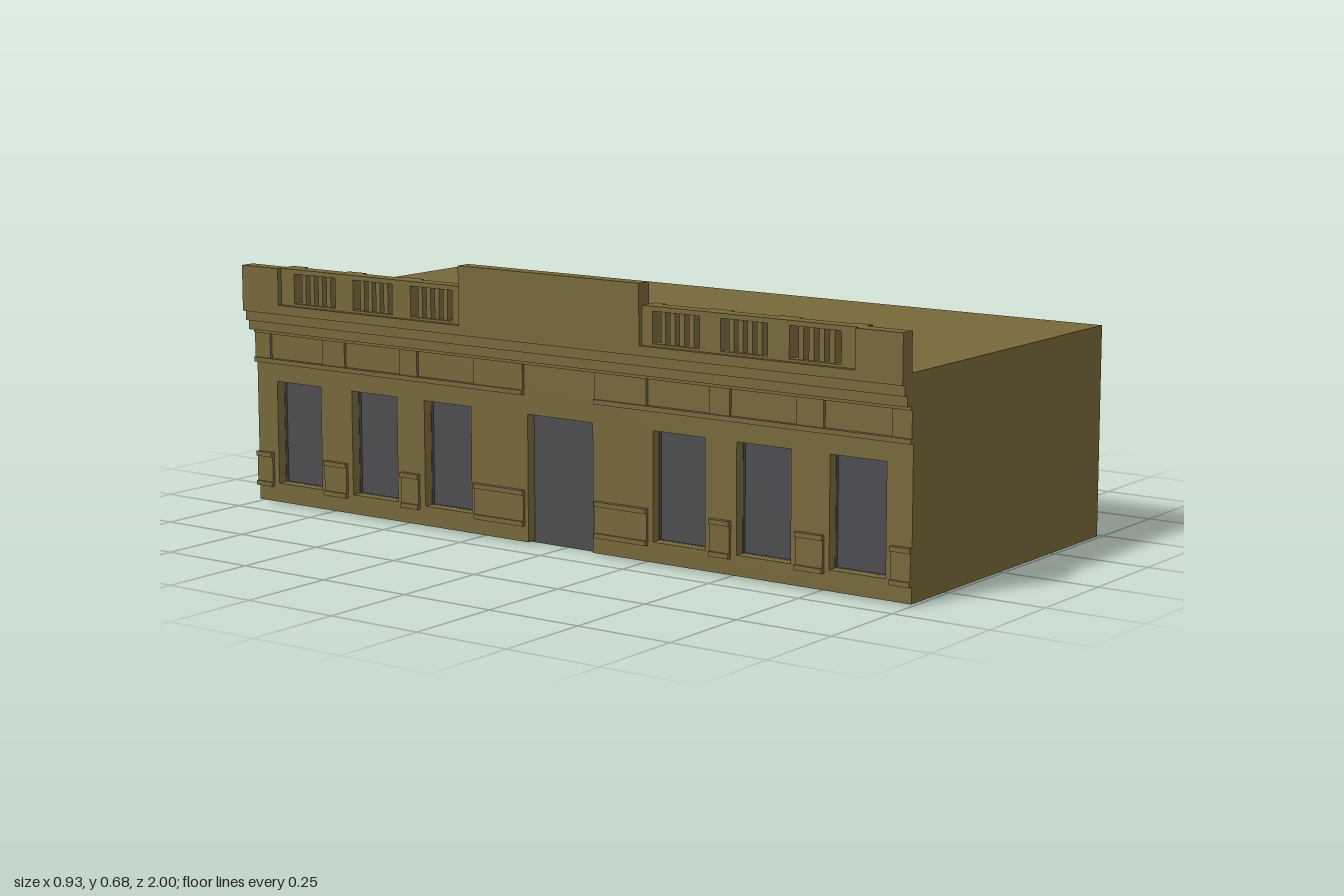
import * as THREE from 'three';

const olive = new THREE.MeshStandardMaterial({ color: 0x76683a, side: THREE.DoubleSide });
const grey = new THREE.MeshStandardMaterial({ color: 0x4c4c50, side: THREE.DoubleSide });

export function createModel() {
  const model = new THREE.Group();

  // Box given by its limits on each axis
  function box(name, x0, x1, y0, y1, z0, z1, material = olive) {
    const mesh = new THREE.Mesh(new THREE.BoxGeometry(x1 - x0, y1 - y0, Math.abs(z1 - z0)), material);
    mesh.position.set((x0 + x1) / 2, (y0 + y1) / 2, (z0 + z1) / 2);
    mesh.name = name;
    model.add(mesh);
    return mesh;
  }

  // Flat panel facing along x
  function panel(name, x, y0, y1, z0, z1, material) {
    const mesh = new THREE.Mesh(new THREE.PlaneGeometry(z1 - z0, y1 - y0), material);
    mesh.rotation.y = Math.PI / 2;
    mesh.position.set(x, (y0 + y1) / 2, (z0 + z1) / 2);
    mesh.name = name;
    model.add(mesh);
  }

  function rectangle(Kind, z0, z1, y0, y1) {
    const r = new Kind();
    r.moveTo(-z0, y0);
    r.lineTo(-z1, y0);
    r.lineTo(-z1, y1);
    r.lineTo(-z0, y1);
    r.closePath();
    return r;
  }

  // Upright plate in the z-y plane, thickened along +x
  function plate(name, shape, x, depth, material) {
    const mesh = new THREE.Mesh(
      new THREE.ExtrudeGeometry(shape, { depth, bevelEnabled: false }), material);
    mesh.rotation.y = Math.PI / 2;
    mesh.position.x = x;
    mesh.name = name;
    model.add(mesh);
  }

  const windows = [-0.855, -0.597, -0.355, 0.355, 0.597, 0.855];
  const base = 0.005, roofY = 0.535;

  // Facade wall with a door notch and window holes
  const wall = new THREE.Shape();
  [[-1, base], [-0.1, base], [-0.1, 0.325], [0.1, 0.325], [0.1, base], [1, base], [1, roofY], [-1, roofY]]
    .forEach(([z, y], i) => (i ? wall.lineTo(z, y) : wall.moveTo(z, y)));
  for (const z of windows) wall.holes.push(rectangle(THREE.Path, z - 0.076, z + 0.076, 0.055, 0.325));
  plate('facadeWall', wall, -0.418, 0.026, olive);

  // Windows: deep grey frame, dark pane outside, plain panel inside
  for (const z of windows) {
    const frame = rectangle(THREE.Shape, z - 0.092, z + 0.092, 0.008, 0.335);
    frame.holes.push(rectangle(THREE.Path, z - 0.076, z + 0.076, 0.055, 0.325));
    plate('windowFrame', frame, -0.391, 0.04, grey);
    panel('windowPane', -0.382, 0.055, 0.325, z - 0.076, z + 0.076, grey);
    panel('windowBacking', -0.378, 0.055, 0.325, z - 0.076, z + 0.076, olive);
  }

  // Door
  box('door', -0.39, -0.352, 0, 0.333, -0.11, 0.11, grey);
  panel('doorBacking', -0.351, 0.005, 0.333, -0.11, 0.11, olive);

  // End walls and roof; the rear stays open
  for (const z of [-1, 1]) {
    const end = new THREE.Mesh(new THREE.PlaneGeometry(0.883, roofY - base), olive);
    end.position.set(0.0235, (roofY + base) / 2, z);
    end.name = 'endWall';
    model.add(end);
  }
  const roof = new THREE.Mesh(new THREE.PlaneGeometry(0.92, 2), olive);
  roof.rotation.x = -Math.PI / 2;
  roof.position.set(0.005, roofY, 0);
  roof.name = 'roof';
  model.add(roof);

  // Pedestals, mouldings and frieze blocks on the piers
  for (const side of [-1, 1]) {
    for (const [a, b] of [[0.11, 0.265], [0.448, 0.505], [0.69, 0.765], [0.947, 1]]) {
      box('pedestal', -0.425, -0.415, 0.045, 0.13, side * a, side * b);
      box('pedestalFoot', -0.43, -0.415, 0.045, 0.057, side * a, side * b);
      box('pedestalCap', -0.43, -0.415, 0.123, 0.135, side * a, side * b);
      box('friezeBlock', -0.425, -0.415, 0.385, 0.46, side * a, side * b);
    }
    box('stringCourse', -0.43, -0.415, 0.373, 0.385, side * 0.11, side);
  }

  // Stepped cornice
  box('friezeTop', -0.429, -0.415, 0.45, 0.462, -1, 1);
  box('corniceLower', -0.447, -0.415, 0.46, 0.485, -1, 1);
  box('corniceMiddle', -0.457, -0.415, 0.485, 0.511, -1, 1);
  box('corniceUpper', -0.468, -0.415, 0.511, roofY, -1, 1);

  // Parapet: raised centre and solid ends
  box('centreParapet', -0.468, -0.428, roofY, 0.683, -0.275, 0.275);
  for (const side of [-1, 1]) box('endParapet', -0.468, -0.428, roofY, 0.63, side * 0.875, side);

  // Run of balusters under a rail
  function balustrade(x0, x1, z0, z1) {
    box('rail', x0, x1, 0.618, 0.63, z0, z1);
    box('railFoot', x0, x1, roofY, 0.541, z0, z1);
    const count = 4, step = (z1 - z0) / (count + 1);
    for (let i = 1; i <= count; i++) {
      const z = z0 + i * step;
      box('baluster', x0 + 0.006, x1 - 0.006, roofY, 0.62, z - 0.007, z + 0.007);
    }
  }
  function post(x0, z0, z1) {
    box('post', x0, -0.41, roofY, 0.622, z0, z1);
    box('postCap', x0, -0.402, 0.62, 0.63, z0, z1);
  }
  for (const side of [-1, 1]) {
    for (const [a, b] of [[0.305, 0.44], [0.5, 0.63], [0.69, 0.83]])
      balustrade(-0.455, -0.415, Math.min(side * a, side * b), Math.max(side * a, side * b));
    for (const [a, b] of [[0.275, 0.305], [0.44, 0.5], [0.63, 0.69], [0.83, 0.88]])
      post(-0.455, side * a, side * b);
  }

  // Short balustrade remnant behind the raised centre
  balustrade(-0.43, -0.412, -0.25, -0.12);
  post(-0.43, -0.11, -0.05);
  box('looseRail', -0.43, -0.405, 0.618, 0.63, -0.05, 0.02);

  return model;
}
